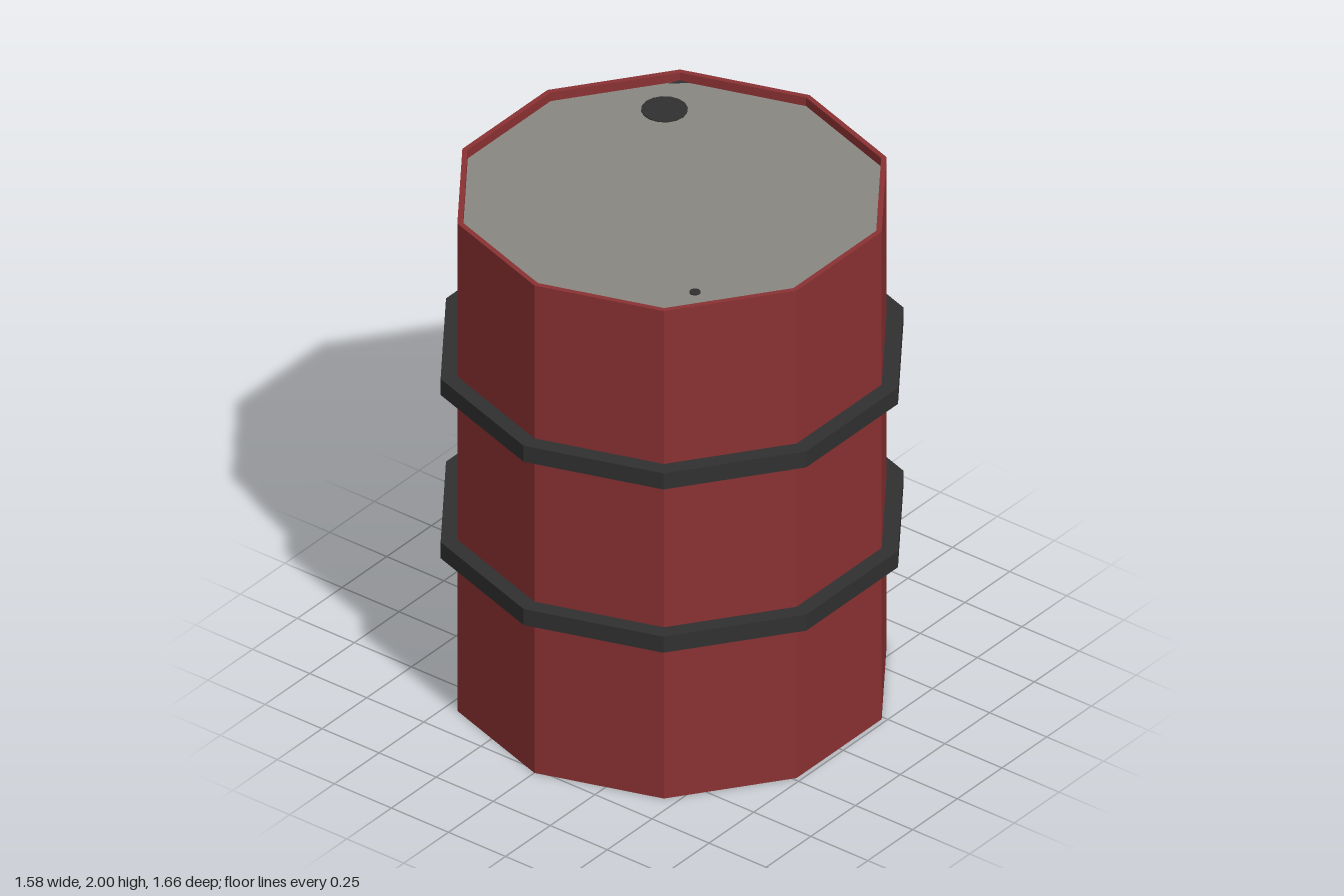
import * as THREE from 'three';

const SIDES = 10;
const R = 0.77;       // outer corner radius of the drum
const R_IN = 0.75;    // inner corner radius of the raised rims
const LID_Y = 1.965;

function paint(name, color) {
  const m = new THREE.MeshStandardMaterial({ color, flatShading: true });
  m.name = name;
  return m;
}

// ten-sided turned part, with corners on the z axis
function turned(points) {
  return new THREE.LatheGeometry(points.map(([r, y]) => new THREE.Vector2(r, y)), SIDES);
}

export function createModel() {
  const red = paint('drumRed', 0x8a3132);
  const dark = paint('bandBlack', 0x303030);
  const grey = paint('lidGrey', 0x8a8882);

  const group = new THREE.Group();
  group.name = 'oilDrum';
  const add = (name, geometry, material, x = 0, y = 0, z = 0) => {
    const mesh = new THREE.Mesh(geometry, material);
    mesh.name = name;
    mesh.position.set(x, y, z);
    group.add(mesh);
    return mesh;
  };

  // drum wall with recessed bottom and raised top rim
  add('drumBody', turned([
    [0, 0.035], [R_IN, 0.035], [R_IN, 0], [R, 0], [R, 2], [R_IN, 2], [R_IN, LID_Y],
  ]), red);

  // recessed lid
  const lid = new THREE.CircleGeometry(R_IN, SIDES, Math.PI / 2).rotateX(-Math.PI / 2);
  add('lid', lid, grey, 0, LID_Y, 0);

  // two hoops around the drum
  [['lowerBand', 0.67], ['upperBand', 1.34]].forEach(([name, y]) => {
    const h = 0.033;
    add(name, turned([[R, -h], [0.83, -h], [0.83, h], [R, h]]), dark, 0, y, 0);
  });

  // bung and vent marks, flat on the lid
  const disc = (r, sides) => new THREE.CylinderGeometry(r, r, 0.004, sides);
  add('bung', disc(0.081, 16), dark, -0.37, LID_Y + 0.002, -0.43);
  add('vent', disc(0.02, 10), dark, 0.43, LID_Y + 0.002, 0.42);

  // small stain in the lid corner
  const stain = new THREE.Shape([[-0.46, 0.565], [-0.40, 0.615], [-0.441, 0.606]]
    .map(([x, z]) => new THREE.Vector2(x, z)));
  add('lidStain', new THREE.ShapeGeometry(stain).rotateX(-Math.PI / 2), dark, 0, LID_Y + 0.004, 0);

  return group;
}
